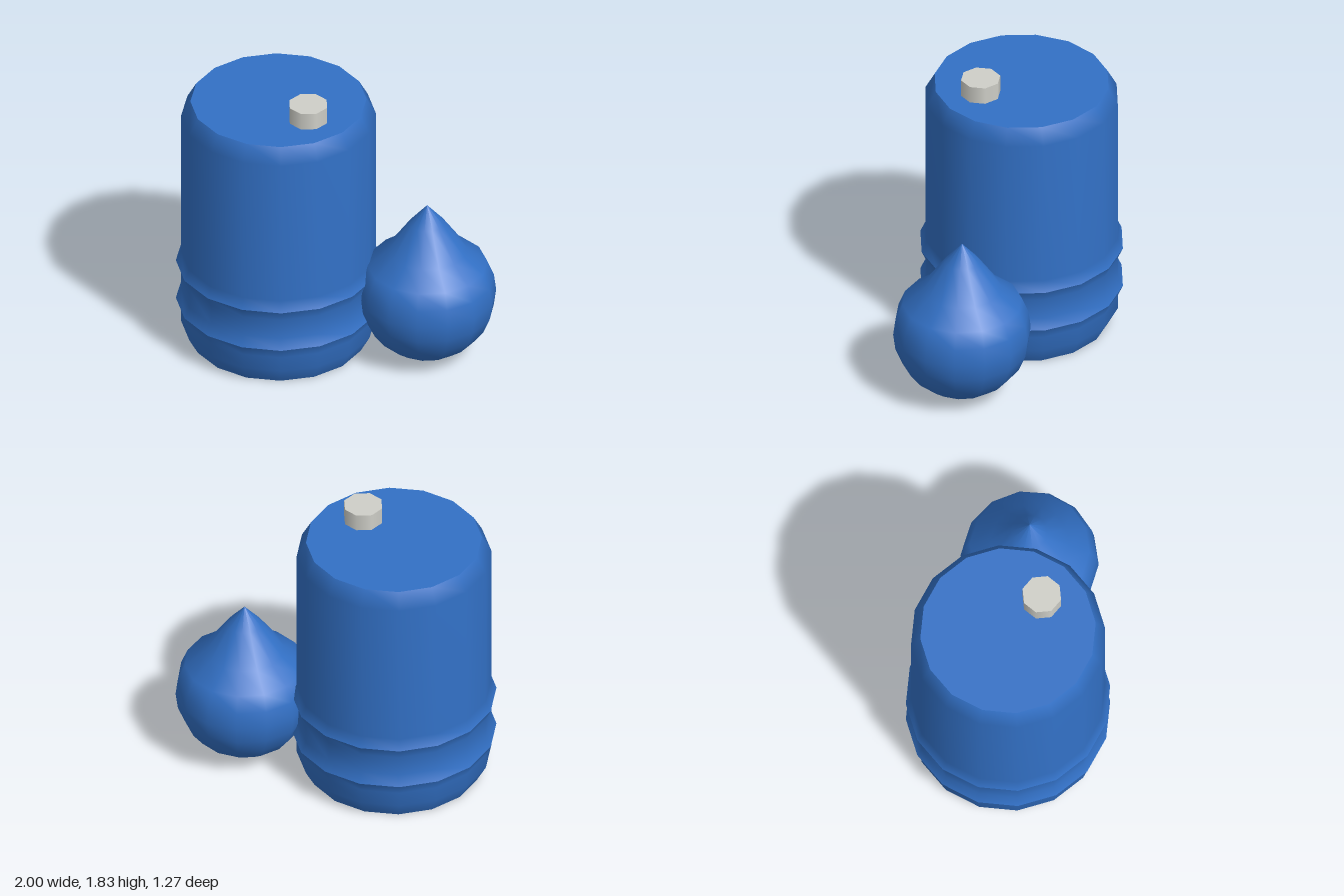
import * as THREE from 'three';

const blue = new THREE.MeshStandardMaterial({ color: 0x3270c5 });
blue.name = 'blue';
const grey = new THREE.MeshStandardMaterial({ color: 0xcfcfc8 });
grey.name = 'grey';

// Smooth turned surface from [radius, height] pairs, listed bottom to top
function turned(name, profile, sides, start = 0) {
  const points = profile.map(([r, y]) => new THREE.Vector2(r, y));
  const mesh = new THREE.Mesh(new THREE.LatheGeometry(points, sides, start), blue);
  mesh.name = name;
  return mesh;
}

// Flat end disc of the barrel
function disc(name, radius, y, turn) {
  const mesh = new THREE.Mesh(new THREE.CircleGeometry(radius, 16), blue);
  mesh.rotation.x = turn;
  mesh.position.y = y;
  mesh.name = name;
  return mesh;
}

export function createModel() {
  const model = new THREE.Group();
  model.name = 'barrelAndDrop';

  // Barrel, split at its two sharp ribs and at its flat ends
  const barrel = new THREE.Group();
  barrel.name = 'barrel';
  barrel.position.x = -0.363;
  const R = 0.605, RIB = 0.637, END = 0.547;
  barrel.add(
    turned('barrelFoot', [[END, 0], [R, 0.107], [R, 0.205], [RIB, 0.275]], 16),
    turned('barrelWaist', [[RIB, 0.275], [R, 0.345], [R, 0.48], [RIB, 0.55]], 16),
    turned('barrelBody', [[RIB, 0.55], [R, 0.62], [R, 1.608], [END, 1.713]], 16),
    disc('barrelBottom', END, 0, Math.PI / 2),
    disc('barrelTop', END, 1.713, -Math.PI / 2),
  );
  model.add(barrel);

  // Filler cap on the lid, off centre
  const cap = new THREE.Mesh(new THREE.CylinderGeometry(0.125, 0.125, 0.115, 8), grey);
  cap.name = 'fillerCap';
  cap.position.set(-0.11, 1.768, 0.142);
  model.add(cap);

  // Liquid drop: round below, drawn out to a point above
  const profile = [];
  for (let a = -90; a <= 30; a += 15) {
    const t = THREE.MathUtils.degToRad(a);
    profile.push([Math.max(0, 0.43 * Math.cos(t)), 0.433 + 0.428 * Math.sin(t)]);
  }
  profile.push([0.247, 0.747], [0.11, 0.943], [0, 1.07]);
  const drop = turned('liquidDrop', profile, 14, Math.PI / 2);
  drop.position.set(0.57, 0, -0.145);
  model.add(drop);

  return model;
}
